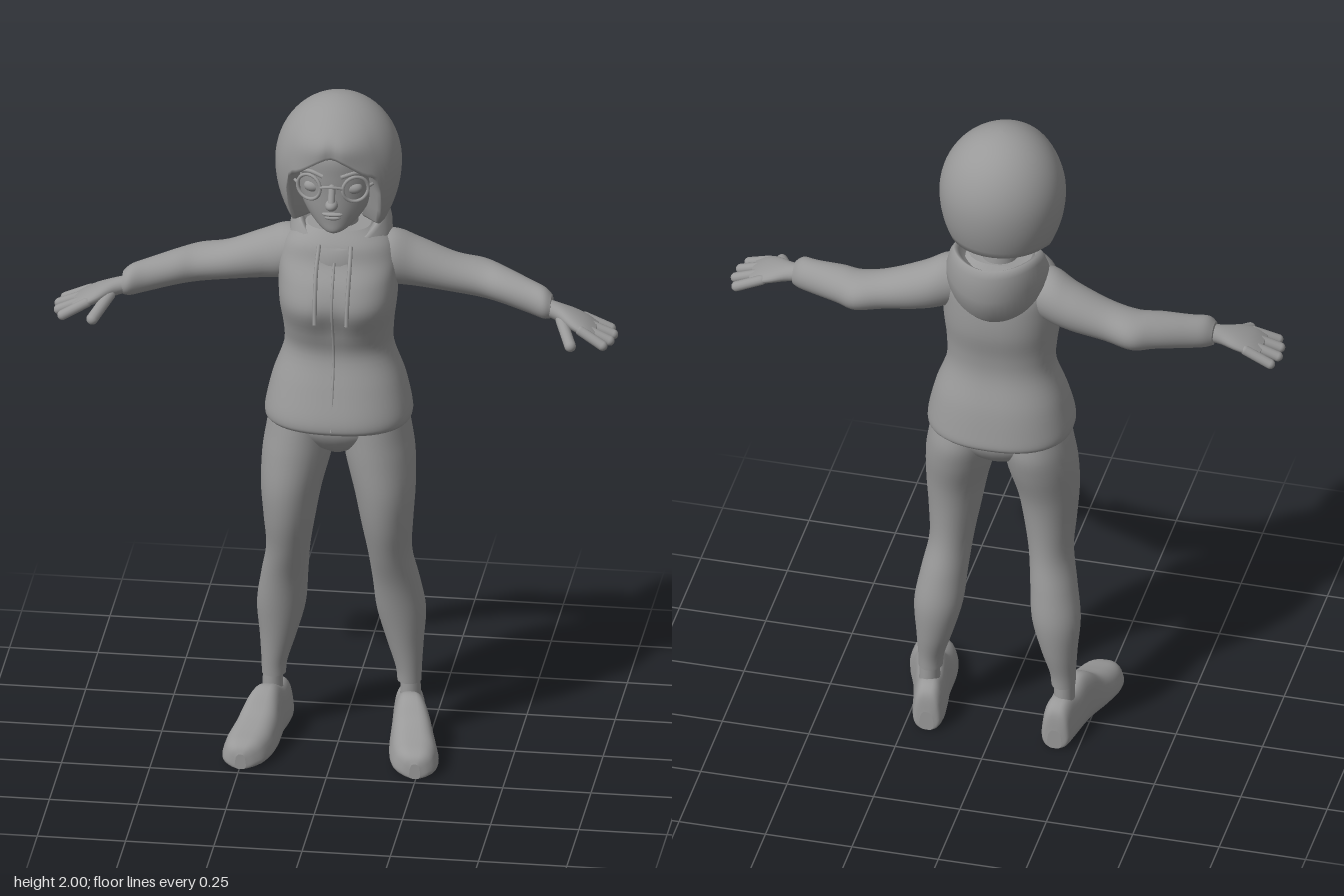
import * as THREE from 'three';

const grey = new THREE.MeshStandardMaterial({ color: 0x999999 });
grey.name = 'clay grey';

const clamp01 = (t) => Math.min(1, Math.max(0, t));
const smooth = (a, b, x) => { const t = clamp01((x - a) / (b - a)); return t * t * (3 - 2 * t); };
const spow = (v, p) => Math.sign(v) * Math.pow(Math.abs(v), p);

// Closed-around surface: rows run along v, columns wrap around an angle
function wrapSurface(fn, cols, rows, capped) {
  const pos = [], idx = [];
  for (let j = 0; j <= rows; j++)
    for (let i = 0; i < cols; i++) pos.push(...fn((i / cols) * Math.PI * 2, j / rows, j));
  for (let j = 0; j < rows; j++)
    for (let i = 0; i < cols; i++) {
      const a = j * cols + i, b = j * cols + ((i + 1) % cols), c = a + cols, d = b + cols;
      idx.push(a, c, b, b, c, d);
    }
  if (capped) for (const j of [0, rows]) {
    const start = pos.length / 3, mid = [0, 0, 0];
    for (let i = 0; i < cols; i++) {
      const k = (j * cols + i) * 3;
      for (let n = 0; n < 3; n++) mid[n] += pos[k + n] / cols;
      pos.push(pos[k], pos[k + 1], pos[k + 2]);
    }
    pos.push(...mid);
    for (let i = 0; i < cols; i++) {
      const a = start + i, b = start + ((i + 1) % cols);
      j ? idx.push(start + cols, b, a) : idx.push(start + cols, a, b);
    }
  }
  const g = new THREE.BufferGeometry();
  g.setAttribute('position', new THREE.Float32BufferAttribute(pos, 3));
  g.setIndex(idx);
  g.computeVertexNormals();
  return g;
}

// Smooth loft through rings [x, y, z, radius1, radius2] stacked along an axis (0 x, 1 y, 2 z)
function loft(axis, rings, { power = 1, cols = 32, steps = 5, tweak = null } = {}) {
  const last = rings.length - 1;
  const at = (t) => {
    const k = Math.min(last - 1, Math.floor(t)), f = t - k;
    const [a, b, c, d] = [k - 1, k, k + 1, k + 2].map((n) => rings[Math.min(last, Math.max(0, n))]);
    return b.map((_, n) => b[n] + 0.5 * f * (c[n] - a[n] + f * (2 * a[n] - 5 * b[n] + 4 * c[n] - d[n]
      + f * (3 * (b[n] - c[n]) + d[n] - a[n]))));
  };
  return wrapSurface((th, v) => {
    const r = at(v * last), p = r.slice(0, 3);
    p[(axis + 2) % 3] += r[3] * spow(Math.cos(th), power);
    p[(axis + 1) % 3] += r[4] * spow(Math.sin(th), power);
    if (tweak) tweak(p, r);
    return p;
  }, cols, last * steps, true);
}

const ball = (x, y, z, rx, ry, rz) => new THREE.SphereGeometry(1, 24, 16).scale(rx, ry, rz).translate(x, y, z);

function rod(a, b, r) {
  const A = new THREE.Vector3(...a), B = new THREE.Vector3(...b), dir = B.clone().sub(A);
  const q = new THREE.Quaternion().setFromUnitVectors(new THREE.Vector3(0, 1, 0), dir.clone().normalize());
  const mid = A.add(B).multiplyScalar(0.5);
  return new THREE.CapsuleGeometry(r, dir.length(), 6, 14).applyQuaternion(q).translate(mid.x, mid.y, mid.z);
}

const tube = (pts, r) => new THREE.TubeGeometry(
  new THREE.CatmullRomCurve3(pts.map((p) => new THREE.Vector3(...p))), 20, r, 8);

function mirrored(geo) {
  const g = geo.clone().scale(-1, 1, 1), ix = g.index.array;
  for (let i = 0; i < ix.length; i += 3) [ix[i], ix[i + 1]] = [ix[i + 1], ix[i]];
  return g;
}

export function createModel() {
  const model = new THREE.Group();
  const add = (name, geo) => {
    const m = new THREE.Mesh(geo, grey);
    m.name = name;
    model.add(m);
  };
  const pair = (name, geo) => { add(name + 'Left', geo); add(name + 'Right', mirrored(geo)); };

  // Hoodie body, with a shallow dip between the chest halves
  add('hoodieBody', loft(1, [
    [0, 1.012, -0.015, 0.198, 0.158], [0, 1.025, -0.015, 0.207, 0.166], [0, 1.06, -0.015, 0.205, 0.162],
    [0, 1.14, -0.02, 0.186, 0.142], [0, 1.23, -0.02, 0.155, 0.116], [0, 1.3, -0.01, 0.155, 0.125],
    [0, 1.38, 0.0, 0.165, 0.148], [0, 1.45, -0.01, 0.168, 0.138], [0, 1.51, -0.025, 0.168, 0.115],
    [0, 1.56, -0.025, 0.145, 0.098], [0, 1.6, -0.025, 0.09, 0.07],
  ], { power: 0.85, cols: 48, tweak: (p) => {
    if (p[2] > 0) p[2] -= 0.014 * Math.exp(-((p[0] / 0.04) ** 2) - ((p[1] - 1.36) / 0.07) ** 2);
  } }));

  // Lowered hood: inner throat, rim, back bulge, lower seam; each value runs front, side, back
  const hoodRows = [
    { rx: 0.145, rz: 0.125, zc: -0.035, y: [1.49, 1.53, 1.45] },
    { rx: 0.146, rz: 0.145, zc: -0.055, y: [1.515, 1.56, 1.485] },
    { rx: 0.142, rz: 0.155, zc: -0.07, y: [1.535, 1.59, 1.56] },
    { rx: 0.132, rz: 0.15, zc: -0.07, y: [1.552, 1.625, 1.635] },
    { rx: 0.122, rz: 0.14, zc: -0.066, y: [1.558, 1.64, 1.657] },
    { rx: 0.108, rz: 0.126, zc: -0.064, y: [1.552, 1.632, 1.645] },
    { rx: 0.095, rz: 0.11, zc: -0.055, y: [1.535, 1.59, 1.59] },
    { rx: 0.04, rz: 0.05, zc: -0.03, y: [1.53, 1.56, 1.56] },
  ];
  add('hood', wrapSurface((th, v, j) => {
    const h = hoodRows[j], s = Math.sin(th), [f, m, b] = h.y;
    const y = m + (f - b) / 2 * s + ((f + b) / 2 - m) * s * s;
    return [h.rx * Math.cos(th), y, h.zc + h.rz * s];
  }, 48, hoodRows.length - 1));
  pair('drawstring', tube([[0.045, 1.565, 0.07], [0.047, 1.51, 0.115], [0.046, 1.43, 0.15], [0.045, 1.36, 0.163]], 0.006));
  add('zipper', tube([[0, 1.025, 0.15], [0, 1.14, 0.121], [0, 1.23, 0.095], [0, 1.3, 0.108], [0, 1.38, 0.134],
    [0, 1.45, 0.126], [0, 1.52, 0.088]], 0.004));

  // Sleeves and hands
  pair('sleeve', loft(0, [
    [0.07, 1.505, -0.03, 0.06, 0.055], [0.15, 1.495, -0.045, 0.076, 0.078], [0.22, 1.473, -0.06, 0.07, 0.07],
    [0.32, 1.445, -0.065, 0.063, 0.056], [0.4, 1.43, -0.07, 0.068, 0.053], [0.46, 1.423, -0.045, 0.062, 0.05],
    [0.54, 1.408, -0.01, 0.05, 0.047], [0.585, 1.4, 0.012, 0.047, 0.044], [0.607, 1.393, 0.018, 0.035, 0.033],
  ]));
  pair('palm', loft(0, [
    [0.585, 1.392, 0.02, 0.026, 0.024], [0.625, 1.384, 0.03, 0.033, 0.025], [0.67, 1.371, 0.045, 0.055, 0.024],
    [0.71, 1.357, 0.055, 0.062, 0.02], [0.74, 1.345, 0.058, 0.052, 0.012],
  ], { cols: 24 }));
  [[0.772, 0.0, 0.004], [0.784, 0.041, 0.038], [0.78, 0.085, 0.073], [0.765, 0.122, 0.1]].forEach(([x, z, z0], i) =>
    pair('finger' + (i + 1), rod([0.7, 1.36, z0], [x, 1.328, z], 0.0145)));
  pair('thumb', rod([0.64, 1.37, 0.06], [0.677, 1.333, 0.148], 0.0165));

  // Trousers
  add('pelvis', loft(1, [
    [0, 0.915, -0.02, 0.035, 0.06], [0, 0.945, -0.02, 0.12, 0.1],
    [0, 0.99, -0.02, 0.185, 0.125], [0, 1.05, -0.02, 0.19, 0.125],
  ]));
  pair('trouserLeg', loft(1, [
    [0.192, 0.178, -0.07, 0.034, 0.038], [0.19, 0.22, -0.07, 0.037, 0.042], [0.18, 0.3, -0.072, 0.052, 0.056],
    [0.17, 0.4, -0.066, 0.069, 0.07], [0.158, 0.5, -0.046, 0.066, 0.075], [0.144, 0.6, -0.018, 0.062, 0.083],
    [0.138, 0.7, -0.002, 0.073, 0.098], [0.132, 0.8, 0.0, 0.086, 0.111], [0.118, 0.9, -0.014, 0.098, 0.124],
    [0.108, 0.97, -0.022, 0.098, 0.128], [0.1, 1.03, -0.02, 0.095, 0.122],
  ]));

  // Ankles and shoes
  pair('ankle', loft(1, [[0.195, 0.1, -0.07, 0.03, 0.036], [0.195, 0.2, -0.07, 0.028, 0.033]], { cols: 20 }));
  const shoe = [[-0.15, 0.185, 0.06, 0.02], [-0.142, 0.186, 0.115, 0.036], [-0.11, 0.188, 0.14, 0.044], [-0.06, 0.195, 0.14, 0.047],
    [-0.01, 0.204, 0.16, 0.05], [0.03, 0.212, 0.15, 0.056], [0.08, 0.222, 0.112, 0.063], [0.14, 0.234, 0.09, 0.066],
    [0.19, 0.242, 0.077, 0.057], [0.215, 0.246, 0.063, 0.037], [0.225, 0.247, 0.045, 0.015]];
  pair('shoe', loft(2, shoe.map(([z, x, h, w]) => [x, 0.005 + h / 2, z, h / 2, w]), {
    power: 0.65,
    tweak: (p, r) => { p[0] = r[0] + (p[0] - r[0]) * (1 - 0.2 * (p[1] - r[1]) / r[3]); p[1] = Math.max(0, p[1]); },
  }));

  // Neck and head
  add('neck', loft(1, [[0, 1.5, -0.04, 0.058, 0.058], [0, 1.6, -0.035, 0.052, 0.054], [0, 1.72, -0.015, 0.056, 0.06]]));
  add('head', loft(1, [
    [0, 1.622, 0.088, 0.016, 0.022], [0, 1.632, 0.075, 0.038, 0.046], [0, 1.66, 0.05, 0.07, 0.074],
    [0, 1.7, 0.032, 0.096, 0.096], [0, 1.75, 0.018, 0.114, 0.113], [0, 1.8, 0.014, 0.123, 0.121],
    [0, 1.86, 0.01, 0.125, 0.125], [0, 1.92, 0.005, 0.09, 0.1],
  ]));
  add('nose', ball(0, 1.722, 0.141, 0.018, 0.016, 0.023));
  add('noseBridge', rod([0, 1.775, 0.128], [0, 1.733, 0.146], 0.01));
  add('upperLip', ball(0, 1.687, 0.123, 0.03, 0.007, 0.012));
  add('lowerLip', ball(0, 1.675, 0.118, 0.024, 0.008, 0.012));
  pair('eye', ball(0.057, 1.765, 0.106, 0.026, 0.018, 0.018));
  pair('eyebrow', tube([[0.025, 1.806, 0.134], [0.06, 1.815, 0.121], [0.095, 1.803, 0.092]], 0.006));
  pair('ear', ball(0.122, 1.75, 0.0, 0.014, 0.032, 0.024));

  // Round glasses
  pair('glassesRim', new THREE.TorusGeometry(0.037, 0.005, 8, 32).rotateY(0.4).translate(0.066, 1.77, 0.127));
  add('glassesBridge', tube([[-0.032, 1.775, 0.142], [0, 1.782, 0.152], [0.032, 1.775, 0.142]], 0.0045));
  pair('glassesTemple', tube([[0.1, 1.775, 0.113], [0.123, 1.776, 0.07], [0.13, 1.775, 0.0]], 0.0045));

  // Bobbed hair with a centre parting; the lower edge rises to frame the face
  add('hair', wrapSurface((th, v, j) => {
    const c = Math.cos(th), s = Math.sin(th), phi = Math.abs(Math.atan2(c, s));
    const bottom = 1.872 - 0.065 * smooth(0, 0.75, phi) - 0.175 * smooth(0.72, 1.1, phi) + 0.035 * smooth(1.3, 2.1, phi);
    const t = Math.max(0, (j - 2) / 26), y = bottom + (2 - bottom) * Math.sin(t * Math.PI / 2);
    let r = y > 1.8 ? Math.sqrt(Math.max(0, 1 - ((y - 1.8) / 0.2) ** 2)) : 1 - 0.25 * ((1.8 - y) / 0.17) ** 2;
    const front = Math.max(0, s) ** 2 * Math.exp(-(((y - 1.91) / 0.05) ** 2));
    const groove = 0.01 * Math.exp(-((phi / 0.12) ** 2)) * smooth(1.95, 1.87, y);
    r *= [0.6, 0.93][j] ?? 1;
    return [0.178 * r * c, y + (j === 0 ? 0.012 : 0), -0.006 + (0.174 * r + 0.026 * front - groove) * s];
  }, 72, 28));
  return model;
}
